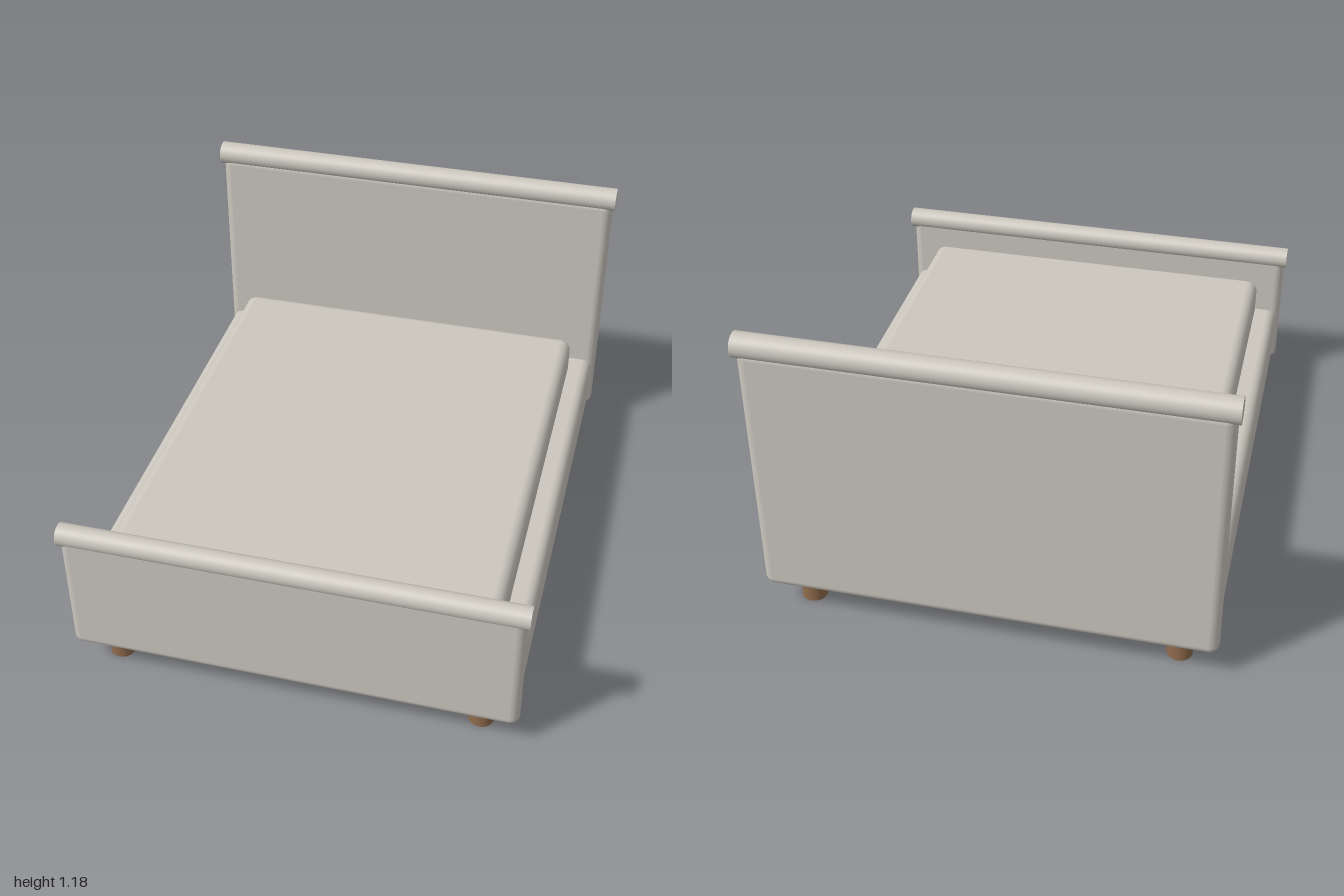
import * as THREE from 'three';
import { RoundedBoxGeometry } from 'three/addons/geometries/RoundedBoxGeometry.js';

export function createModel() {
  const bed = new THREE.Group();
  bed.name = 'bed';
  const fabric = new THREE.MeshStandardMaterial({ color: 0xcbc7be });
  fabric.name = 'warm grey fabric';
  const wood = new THREE.MeshStandardMaterial({ color: 0x8f6b4c });
  wood.name = 'brown wood';

  const add = (name, geometry, material, x, y, z) => {
    const mesh = new THREE.Mesh(geometry, material);
    mesh.name = name;
    mesh.position.set(x, y, z);
    bed.add(mesh);
    return mesh;
  };

  // Padded block given by its limits in y and z
  const pad = (name, width, y0, y1, z0, z1, radius) =>
    add(name, new RoundedBoxGeometry(width, y1 - y0, z1 - z0, 6, radius),
      fabric, 0, (y0 + y1) / 2, (z0 + z1) / 2);

  // Round bolster along the top of a board
  const roll = (name, radius, y, z) => {
    const geometry = new THREE.CylinderGeometry(radius, radius, 1.68, 40);
    geometry.rotateZ(Math.PI / 2);
    add(name, geometry, fabric, 0, y, z);
  };

  pad('bedBase', 1.63, 0.115, 0.355, -0.985, 0.988, 0.04);
  pad('mattress', 1.45, 0.2, 0.49, -0.875, 0.96, 0.045);

  pad('headboard', 1.66, 0.11, 1.13, -0.992, -0.915, 0.037);
  roll('headboardRoll', 0.046, 1.133, -0.954);

  pad('footboard', 1.66, 0.1, 0.62, 0.925, 0.996, 0.035);
  roll('footboardRoll', 0.042, 0.606, 0.958);

  // Four round legs
  for (const x of [-0.685, 0.685]) {
    for (const z of [-0.875, 0.885]) {
      add('leg', new THREE.CylinderGeometry(0.047, 0.047, 0.13, 32), wood, x, 0.065, z);
    }
  }
  return bed;
}
